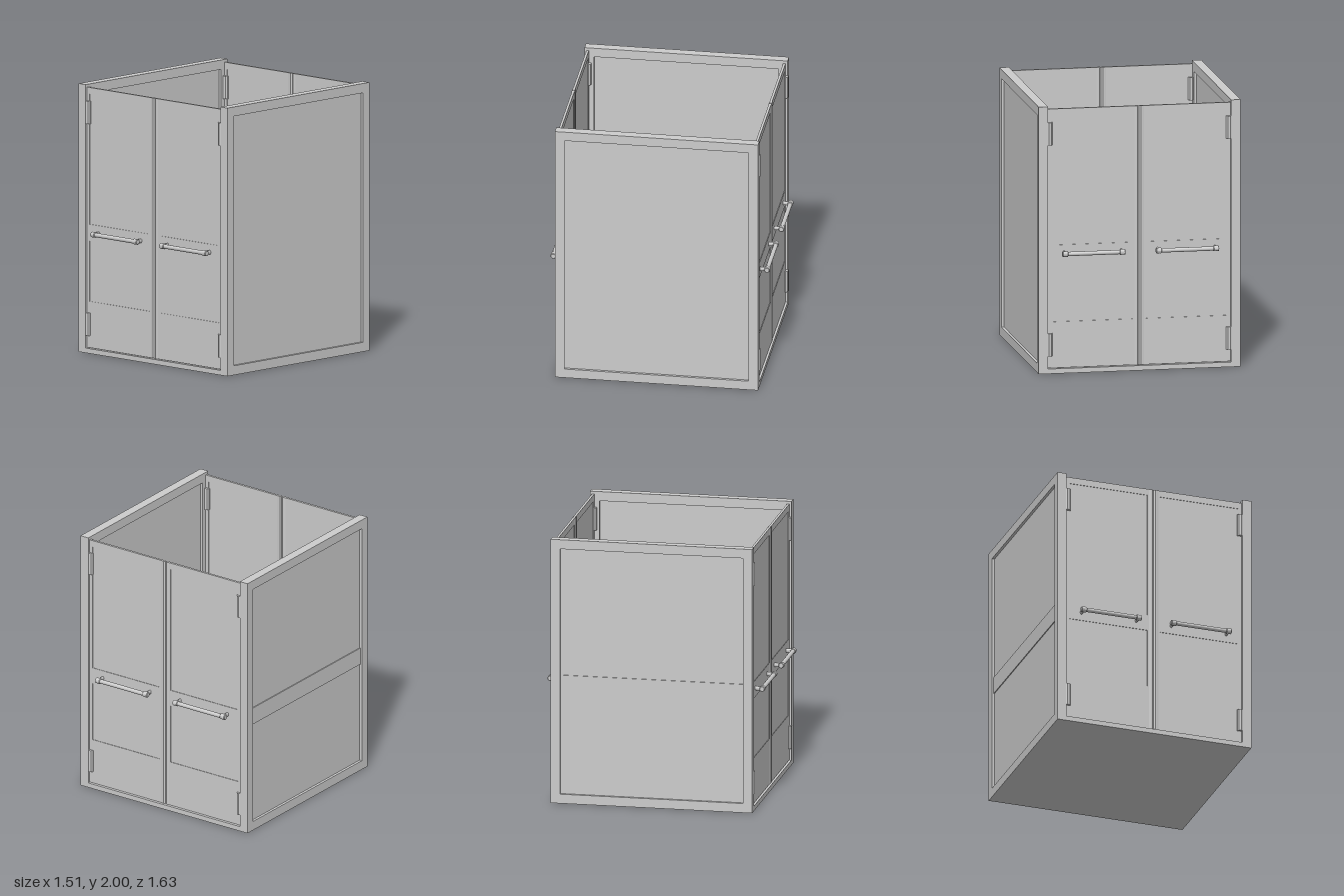
import * as THREE from 'three';

const grey = new THREE.MeshStandardMaterial({ color: 0xcccccc });
const flat = new THREE.MeshStandardMaterial({ color: 0xcccccc, flatShading: true });

function add(parent, name, geometry, x = 0, y = 0, z = 0, material = grey) {
  const mesh = new THREE.Mesh(geometry, material);
  mesh.name = name;
  mesh.position.set(x, y, z);
  parent.add(mesh);
  return mesh;
}

// Box given by its limits on each axis
function box(parent, name, [x0, x1], [y0, y1], [z0, z1]) {
  return add(parent, name, new THREE.BoxGeometry(x1 - x0, y1 - y0, z1 - z0),
    (x0 + x1) / 2, (y0 + y1) / 2, (z0 + z1) / 2);
}

// Upright prism from an outline of [x, z] points
function upright(parent, name, points, y0, y1, x, z) {
  const shape = new THREE.Shape(points.map(([px, pz]) => new THREE.Vector2(px, -pz)));
  const geometry = new THREE.ExtrudeGeometry(shape, { depth: y1 - y0, bevelEnabled: false });
  geometry.rotateX(-Math.PI / 2);
  return add(parent, name, geometry, x, y0, z, flat);
}

// Horizontal bar along x with a thicker collar at each end
function bar(name, length, radius, collarRadius, collarLength) {
  const group = new THREE.Group();
  group.name = name;
  const rod = new THREE.CylinderGeometry(radius, radius, length - 0.01, 20).rotateZ(Math.PI / 2);
  add(group, 'rod', rod);
  const r = collarRadius, h = collarLength / 2, c = 0.004;
  const profile = [[0, -h], [r - c, -h], [r, -h + c], [r, h - c], [r - c, h], [0, h]]
    .map(([a, b]) => new THREE.Vector2(a, b));
  for (const s of [-1, 1]) {
    const collar = new THREE.LatheGeometry(profile, 12).rotateZ(Math.PI / 2);
    add(group, 'collar', collar, s * (length / 2 - h), 0, 0, flat);
  }
  return group;
}

// Side wall: picture frame with a panel recessed on both faces
function sideWall(side) {
  const group = new THREE.Group();
  group.name = side > 0 ? 'leftWall' : 'rightWall';
  const outline = new THREE.Shape();
  outline.moveTo(-0.755, 0).lineTo(0.755, 0).lineTo(0.755, 2).lineTo(-0.755, 2).closePath();
  const hole = new THREE.Path();
  hole.moveTo(-0.685, 0.07).lineTo(-0.685, 1.93).lineTo(0.685, 1.93).lineTo(0.685, 0.07).closePath();
  outline.holes.push(hole);
  const frame = new THREE.ExtrudeGeometry(outline, { depth: 0.07, bevelEnabled: false });
  frame.translate(0, 0, -0.035).rotateY(Math.PI / 2);
  add(group, 'wallFrame', frame, side * 0.72);
  add(group, 'wallPanel', new THREE.BoxGeometry(0.03, 1.86, 1.37), side * 0.72, 1, 0);
  return group;
}

// One door leaf, built on the +x side of z = 0
function doorLeaf(side) {
  const leaf = new THREE.Group();
  leaf.name = side > 0 ? 'leftDoor' : 'rightDoor';
  const mx = (a, b) => (side > 0 ? [a, b] : [-b, -a]);
  const t = [-0.009, 0.009];
  box(leaf, 'doorPanel', mx(0.04, 0.66), [0.05, 1.97], [-0.005, 0.005]);
  // Raised stiles and rails
  box(leaf, 'innerStile', mx(0.03, 0.05), [0.04, 1.98], t);
  box(leaf, 'hingeStile', mx(0.657, 0.684), [0.04, 1.98], t);
  box(leaf, 'kickPlate', mx(0.05, 0.657), [0.04, 0.385], t);
  box(leaf, 'middleRail', mx(0.05, 0.657), [0.835, 0.96], t);
  box(leaf, 'topRail', mx(0.05, 0.657), [1.93, 1.98], t);

  // Lozenge-shaped seal along the meeting edge
  const seal = [[0.001, 0.004], [0.012, 0.012], [0.022, 0.012], [0.04, 0.008],
    [0.04, -0.008], [0.022, -0.012], [0.012, -0.012], [0.001, -0.004]];
  const sealPoints = seal.map(([x, z]) => [side * x, z]);
  upright(leaf, 'meetingSeal', side > 0 ? sealPoints : sealPoints.reverse(), 0.04, 1.98, 0, 0);

  // Hinges clasping both faces of the door
  const hinge = [[-0.022, 0.012], [-0.012, 0.026], [0.006, 0.03], [0.02, 0.022], [0.024, 0.008],
    [0.024, -0.008], [0.02, -0.022], [0.006, -0.03], [-0.012, -0.026], [-0.022, -0.012]]
    .map(([x, z]) => [side * x, z]);
  if (side < 0) hinge.reverse();
  for (const [y0, y1] of [[0.13, 0.3], [1.71, 1.88]])
    upright(leaf, 'hinge', hinge, y0, y1, side * 0.672, 0);

  // Pull bars on both faces, joined through the door by posts
  for (const face of [-1, 1]) {
    const pull = bar('pullBar', 0.47, 0.016, 0.021, 0.042);
    pull.position.set(side * 0.35, 0.9, face * 0.063);
    leaf.add(pull);
  }
  for (const x of [0.136, 0.564]) {
    const post = new THREE.CylinderGeometry(0.016, 0.016, 0.12, 16).rotateX(Math.PI / 2);
    post.scale(0.6, 1, 1);
    add(leaf, 'handlePost', post, side * x, 0.9, 0);
  }
  return leaf;
}

export function createModel() {
  const model = new THREE.Group();
  model.name = 'liftCabin';

  // Floor and side walls
  box(model, 'floor', [-0.69, 0.69], [0, 0.036], [-0.755, 0.755]);
  model.add(sideWall(1), sideWall(-1));

  // Support band and grab rail on the right wall
  box(model, 'railBand', [-0.742, -0.69], [0.84, 0.97], [-0.685, 0.685]);
  const rail = bar('grabRail', 1.2, 0.012, 0.015, 0.04);
  rail.rotation.y = Math.PI / 2;
  rail.position.set(-0.673, 0.9, 0);
  model.add(rail);

  // Double doors at front and back
  for (const end of [1, -1]) {
    const doors = new THREE.Group();
    doors.name = end > 0 ? 'frontDoors' : 'backDoors';
    doors.add(doorLeaf(1), doorLeaf(-1));
    doors.position.z = end * 0.731;
    if (end < 0) doors.rotation.y = Math.PI;
    model.add(doors);
  }
  return model;
}
